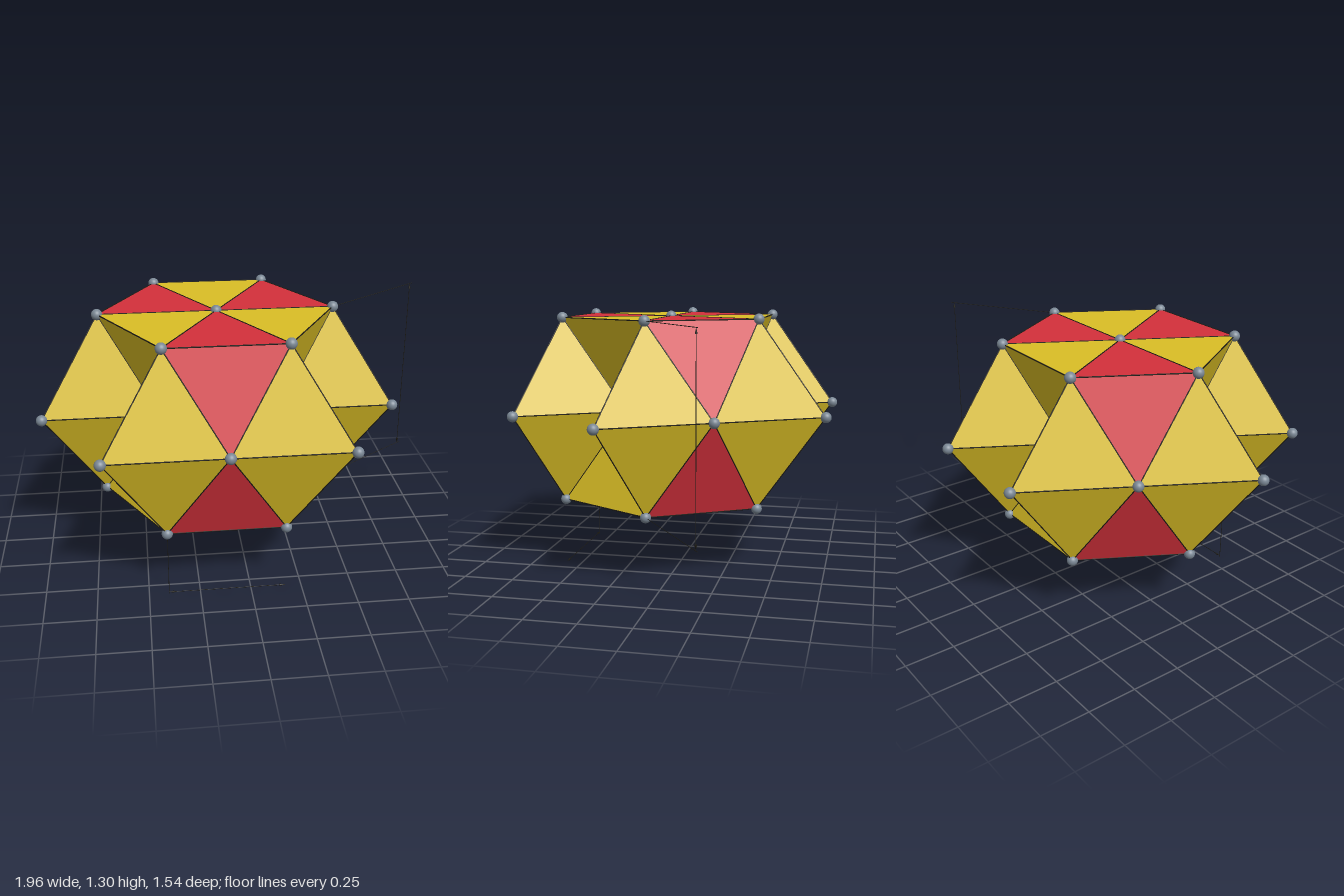
import * as THREE from 'three';
import { ConvexGeometry } from 'three/addons/geometries/ConvexGeometry.js';

const A = 0.572;              // edge length within a layer
const H = 0.467;              // distance between layers
const R = A / Math.sqrt(3);   // triangle centre to corner

const yellow = new THREE.MeshStandardMaterial({ color: 0xdabe25 });
yellow.name = 'yellow';
const red = new THREE.MeshStandardMaterial({ color: 0xd3303b });
red.name = 'red';
const grey = new THREE.MeshStandardMaterial({ color: 0x7a8794 });
grey.name = 'steel grey';
const dark = new THREE.MeshStandardMaterial({ color: 0x1c1a14 });
dark.name = 'line black';

const UP = new THREE.Vector3(0, 1, 0);

// point at an angle and radius around a centre, on a given level
function polar(deg, radius, y = 0, centre = new THREE.Vector3()) {
  const t = THREE.MathUtils.degToRad(deg);
  return new THREE.Vector3(centre.x + radius * Math.cos(t), y, centre.z + radius * Math.sin(t));
}

// thin round rod between two points
function rod(p, q, radius, name) {
  const d = q.clone().sub(p);
  const mesh = new THREE.Mesh(new THREE.CylinderGeometry(radius, radius, d.length(), 6), dark);
  mesh.position.copy(p).add(q).multiplyScalar(0.5);
  mesh.quaternion.setFromUnitVectors(UP, d.normalize());
  mesh.name = name;
  return mesh;
}

// small cone whose tip touches a point
function arrow(tip, direction) {
  const mesh = new THREE.Mesh(new THREE.ConeGeometry(0.006, 0.026, 8), dark);
  mesh.position.copy(tip).addScaledVector(direction, -0.013);
  mesh.quaternion.setFromUnitVectors(UP, direction);
  mesh.name = 'dimensionArrow';
  return mesh;
}

// dimension line with an arrow at each end
function dimension(p, q) {
  const group = new THREE.Group();
  const d = q.clone().sub(p).normalize();
  group.add(rod(p, q, 0.0016, 'dimensionLine'), arrow(q, d), arrow(p, d.clone().negate()));
  return group;
}

export function createModel() {
  const model = new THREE.Group();
  model.name = 'closePackedCell';
  const cell = new THREE.Group();
  cell.name = 'cell';
  cell.position.set(-0.117, 0.873, 0.08);
  model.add(cell);

  const nodes = new Map();
  const edges = new Map();
  const key = (p) => p.toArray().map((v) => Math.round(v * 100) + 0).join();

  // one solid, remembering its corners and edges
  function solid(points, material, name) {
    const mesh = new THREE.Mesh(new ConvexGeometry(points), material);
    mesh.name = name;
    cell.add(mesh);
    points.forEach((p, i) => {
      nodes.set(key(p), p);
      for (const q of points.slice(i + 1)) {
        if (p.distanceTo(q) < A * 1.1) edges.set([key(p), key(q)].sort().join('|'), [p, q]);
      }
    });
  }

  for (const y of [H, -H]) {
    const centre = new THREE.Vector3(0, y, 0);
    const corners = [0, 60, 120, 180, 240, 300].map((deg) => polar(deg, A, y));

    // tetrahedra standing on the middle layer
    for (const apex of [centre, ...corners]) {
      solid([apex, ...[30, 150, 270].map((d) => polar(d, R, 0, apex))], yellow, 'layerTetrahedron');
    }

    for (let k = 0; k < 6; k++) {
      const middle = polar(30 + 60 * k, R, y);
      const triangle = [centre, corners[k], corners[(k + 1) % 6]];
      if (k % 2 === 0) {
        // tetrahedra pointing at the middle layer
        solid([...triangle, polar(0, 0, 0, middle)], yellow, 'capTetrahedron');
      } else {
        solid([...triangle, ...[90, 210, 330].map((d) => polar(d, R, 0, middle))], red, 'octahedron');
      }
    }
  }

  // ball at each corner, thin line along each edge
  const ball = new THREE.SphereGeometry(0.027, 24, 16);
  for (const p of nodes.values()) {
    const mesh = new THREE.Mesh(ball, grey);
    mesh.position.copy(p);
    mesh.name = 'node';
    cell.add(mesh);
  }
  for (const [p, q] of edges.values()) cell.add(rod(p, q, 0.003, 'edge'));

  // width dimension below the front edge
  const v = (x, y, z) => new THREE.Vector3(x, y, z);
  const width = dimension(v(-0.403, 0.073, 0.575), v(0.169, 0.073, 0.575));
  width.add(rod(v(-0.403, 0.406, 0.575), v(-0.403, 0.065, 0.575), 0.0016, 'extensionLine'));
  width.name = 'widthDimension';

  // height dimension at the left side
  const height = dimension(v(0.94, 0.406, -0.26), v(0.94, 1.34, -0.26));
  for (const y of [0.406, 1.34]) {
    height.add(rod(v(0.455, y, 0.08), v(0.955, y, -0.27), 0.0016, 'extensionLine'));
  }
  height.name = 'heightDimension';
  model.add(width, height);
  return model;
}
